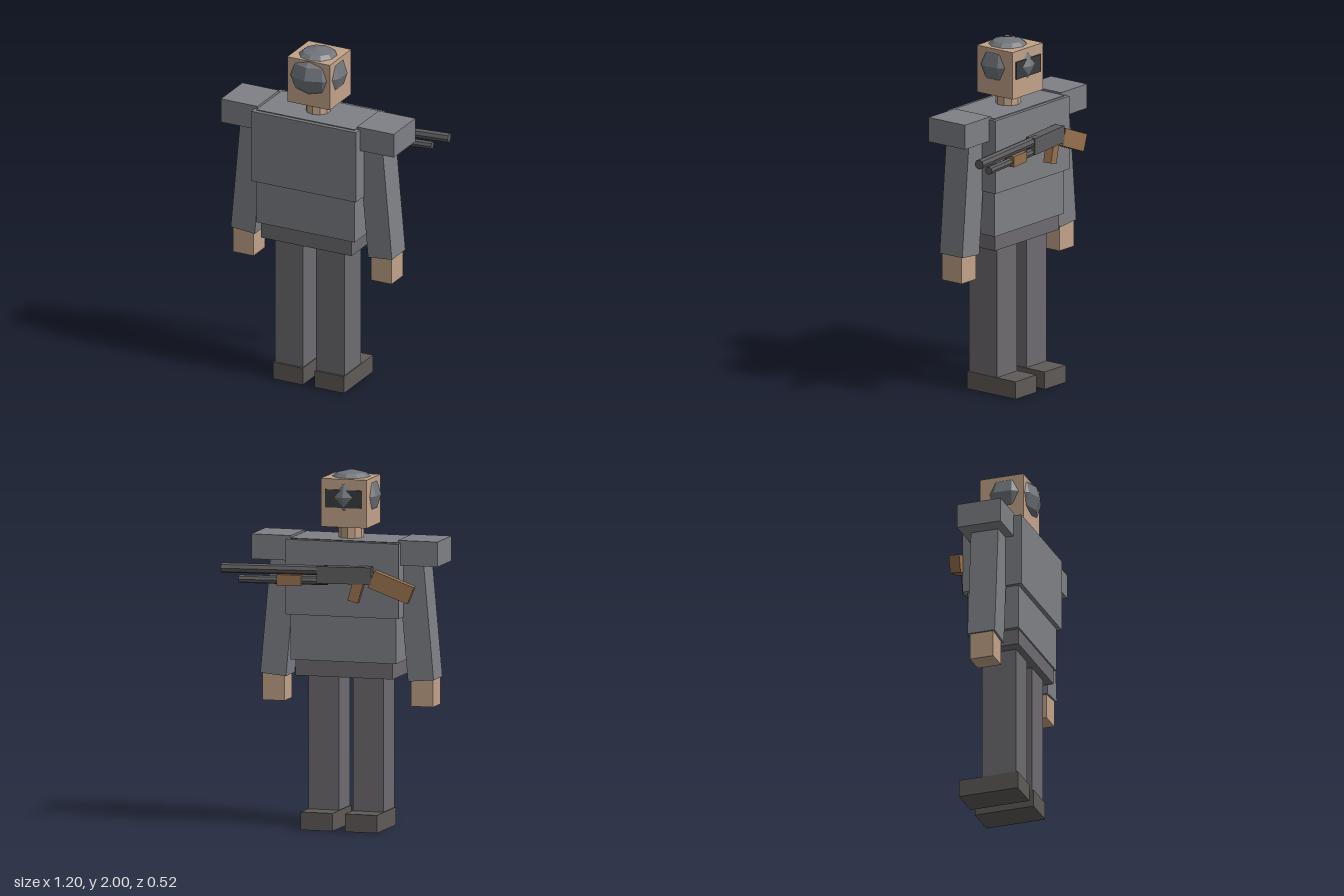
import * as THREE from 'three';

const material = (color) => new THREE.MeshStandardMaterial({ color, flatShading: true });

export function createModel() {
  const model = new THREE.Group();
  const cloth = material(0x7e8085), trousers = material(0x6d6b70), leather = material(0x5f5a57);
  const skin = material(0xc2a389), helmetGrey = material(0x70747a), dark = material(0x3a3b3f);
  const metal = material(0x5c5c5e), wood = material(0x96704e);
  const CX = -0.058, CZ = 0.087; // body axis

  const add = (parent, name, geometry, mat, x, y, z, rz = 0) => {
    const mesh = new THREE.Mesh(geometry, mat);
    mesh.name = name;
    mesh.position.set(x, y, z);
    mesh.rotation.z = rz;
    parent.add(mesh);
    return mesh;
  };
  const box = (parent, name, mat, [w, h, d], [x, y, z], rz = 0) =>
    add(parent, name, new THREE.BoxGeometry(w, h, d), mat, x, y, z, rz);

  // Torso
  box(model, 'torso', cloth, [0.614, 0.68, 0.302], [CX, 1.28, 0.085]);
  box(model, 'vest', cloth, [0.656, 0.42, 0.348], [CX, 1.405, 0.086]);
  box(model, 'pelvis', trousers, [0.566, 0.14, 0.276], [CX, 0.92, 0.089]);

  // Head, with the rounded helmet pushing through its faces
  add(model, 'neck', new THREE.CylinderGeometry(0.07, 0.07, 0.12, 10), skin, CX, 1.65, 0.084);
  box(model, 'head', skin, [0.266, 0.27, 0.255], [CX, 1.825, 0.073]);
  const helmet = add(model, 'helmet', new THREE.SphereGeometry(1, 10, 6), helmetGrey, CX, 1.858, CZ);
  helmet.scale.set(0.166, 0.142, 0.166);
  helmet.rotation.y = Math.PI / 2;
  box(model, 'visor', dark, [0.215, 0.1, 0.03], [CX, 1.85, -0.047]);

  // Limbs, mirrored about the body axis
  for (const s of [-1, 1]) {
    const side = s > 0 ? 'left' : 'right';
    box(model, side + 'Shoulder', cloth, [0.23, 0.14, 0.257], [CX + s * 0.426, 1.56, 0.086]);
    box(model, side + 'Arm', cloth, [0.15, 0.72, 0.161], [CX + s * 0.397, 1.2, 0.086], s * 0.09);
    box(model, side + 'Hand', skin, [0.128, 0.16, 0.138], [CX + s * 0.432, 0.775, 0.086]);
    box(model, side + 'Leg', trousers, [0.176, 0.77, 0.2], [CX + s * 0.129, 0.475, 0.088]);
    box(model, side + 'Boot', leather, [0.186, 0.1, 0.347], [CX + s * 0.129, 0.05, 0.027]);
  }

  // Shotgun slung across the chest, built along x and then turned
  const gun = new THREE.Group();
  gun.name = 'shotgun';
  gun.position.set(0, 0, -0.161);
  gun.rotation.y = 0.122;
  model.add(gun);
  const tube = (name, r, x0, x1, y) =>
    add(gun, name, new THREE.CylinderGeometry(r, r, x1 - x0, 8), metal, (x0 + x1) / 2, y, 0, Math.PI / 2);
  tube('barrel', 0.028, 0, 0.6, 1.462);
  tube('magazineTube', 0.023, 0, 0.5, 1.402);
  box(gun, 'receiver', metal, [0.31, 0.095, 0.061], [-0.095, 1.439, 0]);
  box(gun, 'foregrip', wood, [0.14, 0.06, 0.062], [0.215, 1.405, 0]);
  box(gun, 'pistolGrip', wood, [0.06, 0.12, 0.05], [-0.16, 1.35, 0], 0.28);
  box(gun, 'stock', wood, [0.24, 0.1, 0.059], [-0.36, 1.378, 0], 0.37);

  return model;
}
